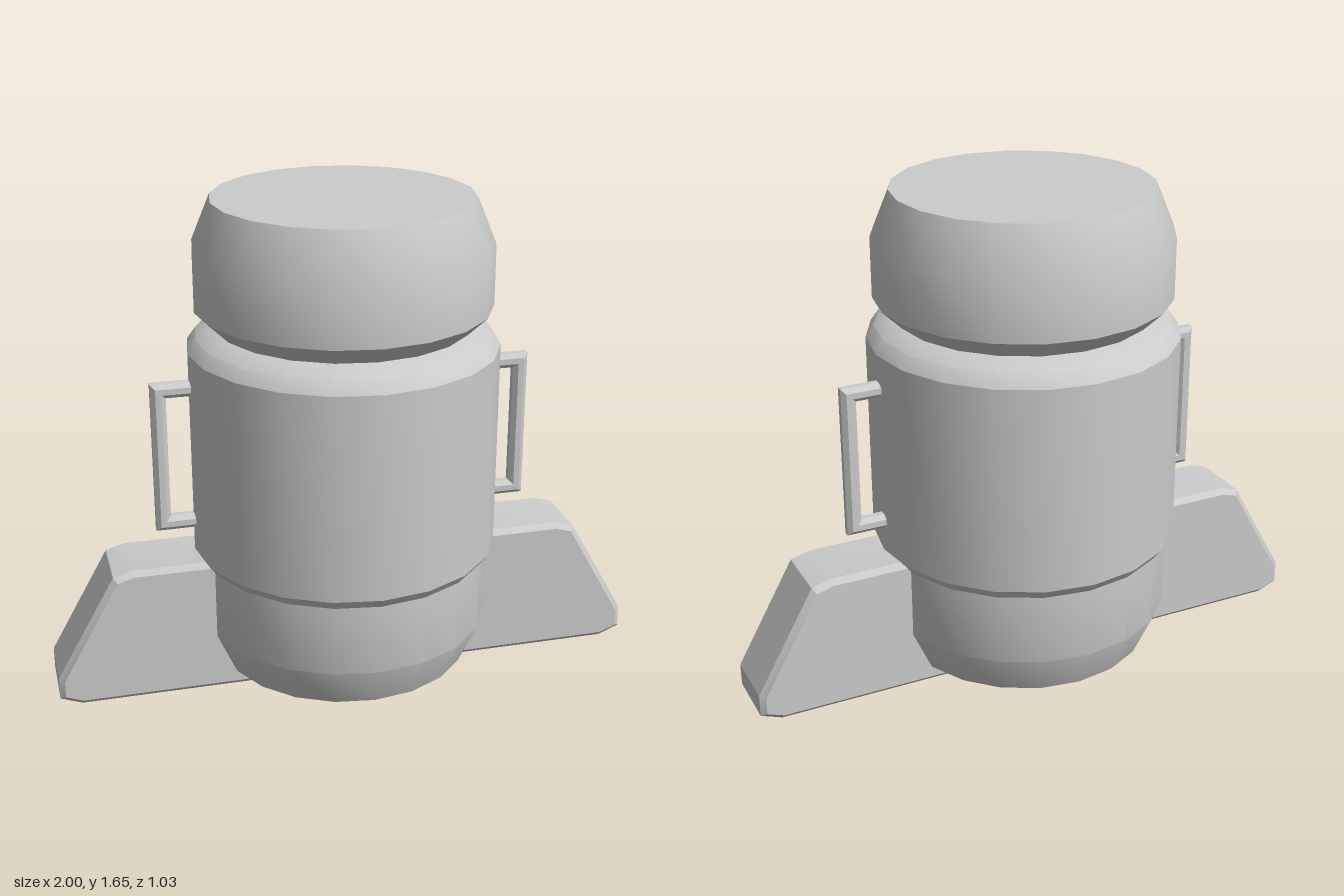
import * as THREE from 'three';
import { toCreasedNormals } from 'three/addons/utils/BufferGeometryUtils.js';

const SIDES = 20;

function part(name, geometry) {
  const mesh = new THREE.Mesh(
    toCreasedNormals(geometry, 0.5),
    new THREE.MeshStandardMaterial({ color: 0xcccccc })
  );
  mesh.name = name;
  return mesh;
}

// Turned solid from [radius, y] pairs, bottom to top
function turned(name, profile) {
  return part(name, new THREE.LatheGeometry(profile.map(([r, y]) => new THREE.Vector2(r, y)), SIDES));
}

// Chamfered plate in the xy plane; the bevel grows the outline by `bevel`
function plate(name, outline, thickness, bevel) {
  const shape = new THREE.Shape(outline.map(([x, y]) => new THREE.Vector2(x, y)));
  const depth = thickness - 2 * bevel;
  const geometry = new THREE.ExtrudeGeometry(shape, {
    depth, bevelEnabled: true, bevelSize: bevel, bevelThickness: bevel, bevelSegments: 1
  });
  geometry.translate(0, 0, -depth / 2);
  return part(name, geometry);
}

export function createModel() {
  const model = new THREE.Group();
  model.name = 'canister';

  // Lower body with tapered foot
  model.add(turned('lowerBody', [[0, 0.06], [0.425, 0.06], [0.487, 0.2], [0.487, 0.45]]));

  // Wide middle sleeve with chamfered rims
  model.add(turned('sleeve', [
    [0.4, 0.44], [0.487, 0.44], [0.513, 0.475], [0.513, 1.165],
    [0.485, 1.205], [0.42, 1.238], [0, 1.238]
  ]));

  // Cap
  model.add(turned('cap', [
    [0, 1.235], [0.42, 1.235], [0.487, 1.3], [0.487, 1.5], [0.425, 1.65], [0, 1.65]
  ]));

  // Stand running under and through the body
  const half = [[0.925, 0.018], [0.982, 0.04], [0.982, 0.098], [0.79, 0.438], [0.735, 0.454]];
  const mirrored = half.map(([x, y]) => [-x, y]).reverse();
  model.add(plate('stand', [...half, ...mirrored], 0.245, 0.018));

  // Side handles
  const handle = [
    [0.45, 0.575], [0.625, 0.575], [0.625, 1.06], [0.45, 1.06],
    [0.45, 1.04], [0.605, 1.04], [0.605, 0.595], [0.45, 0.595]
  ];
  const left = plate('leftHandle', handle, 0.05, 0.015);
  const right = left.clone();
  right.name = 'rightHandle';
  right.rotation.y = Math.PI;
  model.add(left, right);

  return model;
}
